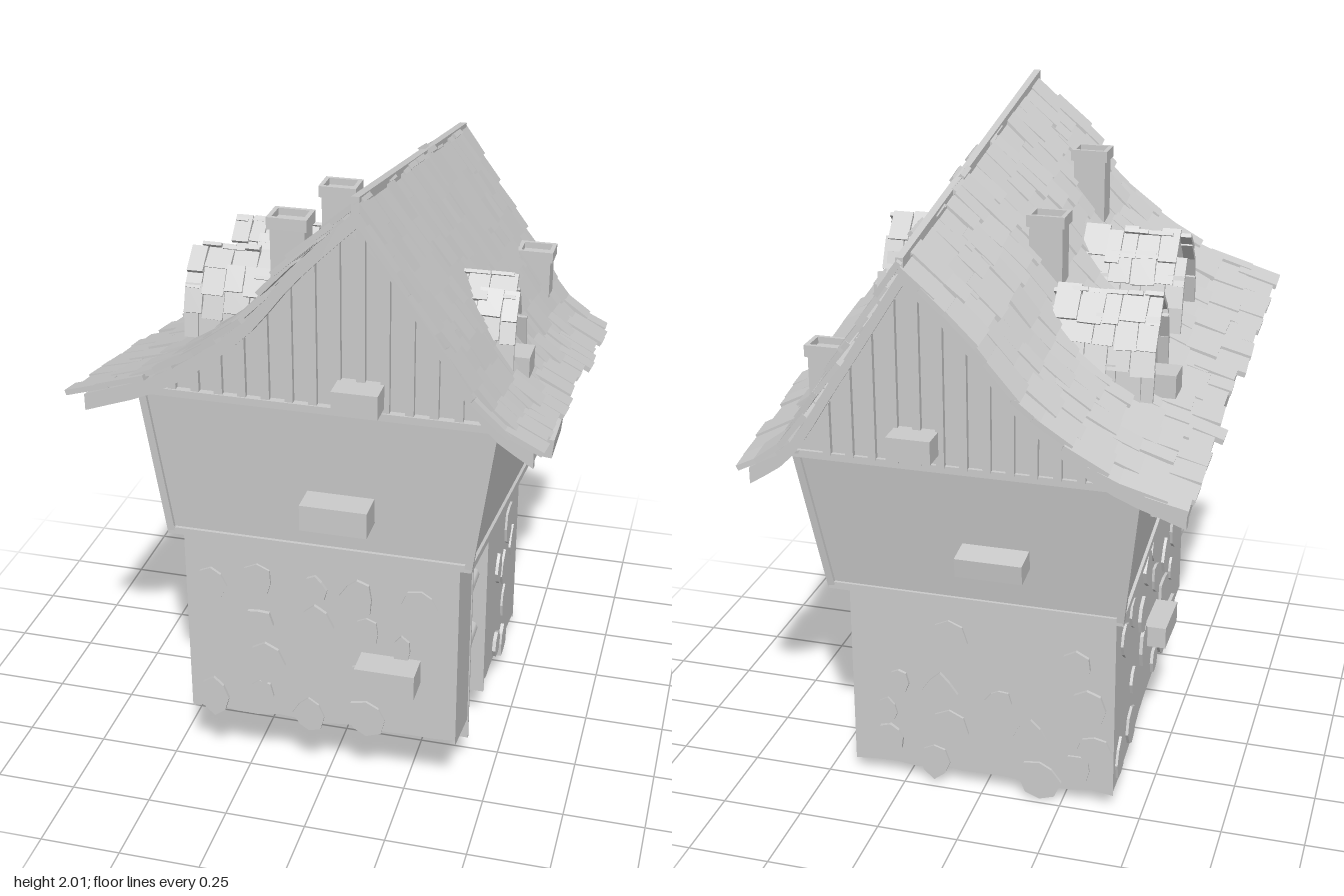
import * as THREE from 'three';
import { mergeGeometries } from 'three/addons/utils/BufferGeometryUtils.js';

const SLOPE = 0.17; // the roof sinks towards the back

let seed = 7;
const rand = (a = 0, b = 1) => {
  seed = (seed * 16807) % 2147483647;
  return a + (b - a) * (seed / 2147483647);
};
const V = (x, y, z = 0) => new THREE.Vector3(x, y, z);
const curve = (pts) => new THREE.CatmullRomCurve3(pts.map(([x, y]) => V(x, y)));
const shape = (pts) => new THREE.Shape(pts.map(([x, y]) => new THREE.Vector2(x, y)));
const merge = (list) => mergeGeometries(list.map((g) => (g.index ? g.toNonIndexed() : g)));
const boxGeo = (w, h, d, x, y, z) => new THREE.BoxGeometry(w, h, d).translate(x, y, z);
const extrude = (s, depth, z = 0) =>
  new THREE.ExtrudeGeometry(s, { depth, bevelEnabled: false }).translate(0, 0, z);
const shear = (g) => {
  g.applyMatrix4(new THREE.Matrix4().set(1, 0, 0, 0, 0, 1, SLOPE, 0, 0, 0, 1, 0, 0, 0, 0, 1));
  g.computeVertexNormals();
  return g;
};

// Square beam between two points
function beam(a, b, r) {
  const d = b.clone().sub(a);
  const g = new THREE.BoxGeometry(r * 2, d.length() + r * 1.6, r * 2);
  g.applyQuaternion(new THREE.Quaternion().setFromUnitVectors(V(0, 1, 0), d.normalize()));
  return g.translate(...a.clone().add(b).multiplyScalar(0.5).toArray());
}

// Overlapping shingles laid in rows down a curve and in columns along z
function shingles(path, z0, z1, rows, width, thick) {
  const list = [], step = path.getLength() / rows;
  for (let i = 0; i < rows; i++) {
    for (let z = z0 + rand(-width * 0.4, 0); z < z1 - width * 0.3;) {
      const w = Math.min(width * rand(0.75, 1.35), z1 + 0.015 - z);
      const u = Math.min(1, (i + 0.5 + rand(-0.2, 0.2)) / rows);
      const p = path.getPointAt(u), t = path.getTangentAt(u), dir = Math.sign(t.x) || 1;
      const n = V(-t.y * dir, t.x * dir).multiplyScalar(thick * rand(0.6, 1.2));
      const g = new THREE.BoxGeometry(step * rand(1.3, 1.6), thick, w - 0.003);
      g.rotateY(rand(-0.04, 0.04));
      g.rotateZ(Math.atan2(t.y, t.x) + dir * rand(0.04, 0.1));
      const zc = Math.max(z0 + w / 2 - 0.015, z + w / 2);
      list.push(g.translate(p.x + n.x, p.y + n.y, zc));
      z += w;
    }
  }
  return list;
}

// Irregular flat stone, showing on both sides of a wall
function stone(x, y, r) {
  const pts = [], n = 8, squash = rand(0.7, 1);
  for (let i = 0; i < n; i++) {
    const a = (i / n) * Math.PI * 2, q = r * rand(0.75, 1.1);
    pts.push([x + Math.cos(a) * q * squash, y + Math.sin(a) * q]);
  }
  const t = rand(0.007, 0.012);
  return extrude(shape(pts), t * 2, -t);
}

export function createModel() {
  const model = new THREE.Group();
  const grey = new THREE.MeshStandardMaterial({ color: 0xcccccc, side: THREE.DoubleSide });
  grey.name = 'lightGrey';
  const add = (name, geo) => {
    const m = new THREE.Mesh(geo, grey);
    m.name = name;
    model.add(m);
    return m;
  };

  // Lower stone walls with ragged bottoms; the base is open
  const ragged = (a, b, ya, yb, n) => Array.from({ length: n + 1 }, (_, i) => {
    const t = i / n;
    return [a + (b - a) * t, ya + (yb - ya) * t + rand(-0.012, 0.012)];
  });
  const wall = (name, outline, stones, place) => {
    add(name, place(new THREE.ShapeGeometry(shape(outline))));
    add(name + 'Stones', place(merge(stones)));
  };
  const scatter = (a, b, bottom, top, skip = () => false) => {
    const list = [];
    for (let u = a + 0.09; u < b - 0.06; u += 0.15) {
      for (let v = bottom(u) + 0.06; v < top(u) - 0.07; v += 0.14) {
        const x = u + rand(-0.03, 0.03), y = v + rand(-0.03, 0.03);
        if (!skip(x) && rand() < 0.75) list.push(stone(x, y, rand(0.045, 0.075)));
      }
    }
    return list;
  };
  wall('frontWall', [[0.42, 0.92], [-0.41, 0.92], ...ragged(-0.41, 0.42, 0.26, 0.26, 12)],
    scatter(-0.41, 0.42, () => 0.25, () => 0.9), (g) => g.translate(0, 0, 0.56));
  const low = [[-0.18, 0.075, 0.075], [0.16, 0.085, 0.07], [-0.3, 0.13, 0.06], [0.3, 0.15, 0.05]];
  wall('backWall', [[0.42, 0.72], [-0.41, 0.72], ...ragged(-0.41, 0.42, 0.06, 0.06, 12)],
    [...scatter(-0.41, 0.42, () => 0.15, () => 0.7), ...low.map((s) => stone(...s))],
    (g) => g.translate(0, 0, -0.47));
  const sideLow = (z) => 0.145 + 0.19 * z, sideTop = (z) => 0.8 + 0.19 * z;
  wall('rightWall', [[0.56, 0.92], [-0.47, 0.72], ...ragged(-0.47, 0.56, 0.06, 0.25, 14)],
    scatter(-0.47, 0.56, sideLow, sideTop), (g) => g.rotateY(-Math.PI / 2).translate(-0.41, 0, 0));
  wall('leftWall', [[0.56, 0.92], [-0.47, 0.72], ...ragged(-0.47, 0.115, 0.06, 0.175, 9),
    [0.115, 0.77], [0.365, 0.77], [0.365, 0.21], [0.56, 0.25]],
  scatter(-0.47, 0.56, sideLow, sideTop, (z) => z > 0.03 && z < 0.45),
  (g) => g.rotateY(-Math.PI / 2).translate(0.42, 0, 0));

  // Recessed plank door
  add('doorFrame', merge([
    boxGeo(0.075, 0.63, 0.01, 0.386, 0.455, 0.115), boxGeo(0.075, 0.63, 0.01, 0.386, 0.455, 0.365),
    boxGeo(0.075, 0.01, 0.25, 0.386, 0.77, 0.24)]));
  add('doorPlanks', merge([0, 1, 2, 3].map((i) =>
    boxGeo(0.02, 0.63 - (i % 2) * 0.012, 0.058, 0.36, 0.455, 0.147 + i * 0.062))));
  add('doorBars', merge([0.385, 0.585].map((y) =>
    new THREE.CylinderGeometry(0.024, 0.024, 0.24, 8).rotateX(Math.PI / 2).translate(0.375, y, 0.24))));

  // Overhanging upper floor with edge beams
  const corner = (sx, sy, sz) => {
    const z = sz > 0 ? (sy < 0 ? 0.585 : 0.615) : (sy < 0 ? -0.53 : -0.595);
    const x = sx < 0 ? (sy < 0 ? -0.435 : -0.49) : (sy < 0 ? 0.45 : 0.515);
    return V(x, (sy < 0 ? 0.79 : 1.25) + 0.185 * z, z);
  };
  const upper = new THREE.BoxGeometry(2, 2, 2), pos = upper.attributes.position;
  for (let i = 0; i < pos.count; i++) {
    pos.setXYZ(i, ...corner(pos.getX(i), pos.getY(i), pos.getZ(i)).toArray());
  }
  upper.computeVertexNormals();
  add('upperFloor', upper);
  const edges = [];
  for (const a of [-1, 1]) for (const b of [-1, 1]) {
    edges.push(beam(corner(-1, a, b), corner(1, a, b), 0.011));
    edges.push(beam(corner(a, -1, b), corner(a, 1, b), 0.011));
    edges.push(beam(corner(a, b, -1), corner(a, b, 1), 0.011));
  }
  add('edgeBeams', merge(edges));

  // Curved roof deck, rake boards and shingles
  const left = curve([[0.15, 1.86], [-0.02, 1.69], [-0.17, 1.51], [-0.41, 1.33], [-0.64, 1.24]]);
  const right = curve([[0.15, 1.86], [0.355, 1.54], [0.51, 1.31], [0.63, 1.225]]);
  const line = [...left.getSpacedPoints(14).reverse(), ...right.getSpacedPoints(14).slice(1)];
  const band = (t) => shape([...line.map((p) => [p.x, p.y]),
    ...line.slice().reverse().map((p) => [p.x, p.y - t])]);
  add('roofDeck', shear(extrude(band(0.03), 1.34, -0.67)));
  add('rakeBoards', shear(merge([-0.675, 0.65].map((z) => extrude(band(0.05), 0.025, z)))));
  add('rightShingles', shear(merge(shingles(left, -0.695, 0.695, 11, 0.075, 0.016))));
  add('leftShingles', shear(merge(shingles(right, -0.695, 0.695, 9, 0.075, 0.016))));
  add('ridgeCap', shear(boxGeo(0.022, 0.045, 1.39, 0.15, 1.875, 0)));

  // Plank gables at both ends
  const under = line.filter((p) => p.y > 1.285).map((p) => [p.x, p.y - 0.02]);
  const roofY = (x) => {
    const i = Math.max(1, line.findIndex((p) => p.x >= x)), a = line[i - 1], b = line[i];
    return a.y + ((b.y - a.y) * (x - a.x)) / (b.x - a.x);
  };
  for (const [name, z] of [['frontGable', 0.6], ['backGable', -0.59]]) {
    const s = Math.sign(z);
    const panel = shape([[-0.49, 1.24], ...under, [0.515, 1.24]]);
    add(name, shear(extrude(panel, 0.01, z - 0.005)));
    const strips = [];
    for (let x = -0.4; x < 0.48; x += 0.068) {
      const top = roofY(x) - 0.03;
      strips.push(boxGeo(0.024, top - 1.25, 0.018, x, (top + 1.25) / 2, z + s * 0.012));
    }
    add(name + 'Battens', shear(merge(strips)));
  }

  // Arched dormers with their own shingles
  const arch = [[0.1, 1.36], [0.09, 1.43], [0.055, 1.52], [0, 1.59]];
  const flip = arch.map(([x, y]) => [-x, y]);
  const dormer = (name, side, faceX, z, length) => {
    const place = (g) => shear(g.rotateY((side * Math.PI) / 2).translate(faceX, 0, z));
    const face = shape([[-0.085, 1.24], ...flip, ...arch.slice(0, 3).reverse(), [0.085, 1.24]]);
    add(name, place(extrude(face, length - 0.02, -length)));
    const roofs = [arch, flip].flatMap((a) =>
      shingles(curve(a.slice().reverse()), -length, 0, 4, 0.06, 0.012));
    add(name + 'Shingles', place(merge(roofs)));
  };
  dormer('leftDormer', 1, 0.495, 0.2, 0.2);
  dormer('rightFrontDormer', -1, -0.455, 0.2, 0.3);
  dormer('rightBackDormer', -1, -0.455, -0.2, 0.3);

  // Hollow-topped chimneys
  const chimney = (name, x, z, y0, y1, lean) => {
    const rect = (w, d) => [[-w, -d], [w, -d], [w, d], [-w, d]];
    const rim = shape(rect(0.058, 0.045));
    rim.holes.push(new THREE.Path(rect(0.045, 0.033).map(([a, b]) => new THREE.Vector2(a, b))));
    const h = y1 - y0;
    const m = add(name, merge([
      boxGeo(0.1, h - 0.02, 0.076, 0, h / 2 - 0.01, 0),
      extrude(rim, 0.035).rotateX(-Math.PI / 2).translate(0, h - 0.035, 0)]));
    m.position.set(x, y0, z);
    m.rotation.z = lean;
  };
  chimney('rightFrontChimney', -0.11, 0.4, 1.5, 1.84, 0);
  chimney('rightMiddleChimney', -0.1, -0.09, 1.45, 1.76, 0);
  chimney('leftChimney', 0.44, -0.5, 1.18, 1.45, 0);

  // Window boxes: size, position, tilt about z, tilt about x
  const boxes = [
    ['frontLowerBox', 0.18, 0.08, 0.1, 0.22, 0.5, 0.6, 0, 0],
    ['frontUpperBox', 0.195, 0.08, 0.1, 0.08, 1.05, 0.635, 0, 0],
    ['frontGableBox', 0.13, 0.07, 0.1, 0.145, 1.425, 0.645, 0, 0],
    ['backUpperBox', 0.2, 0.06, 0.1, -0.07, 0.86, -0.59, 0, -0.12],
    ['backGableBox', 0.13, 0.07, 0.1, 0.145, 1.22, -0.635, 0, 0],
    ['leftUpperBox', 0.1, 0.065, 0.195, 0.52, 0.905, -0.268, -0.1, 0],
    ['rightUpperBox', 0.1, 0.065, 0.195, -0.49, 0.915, -0.12, 0.06, 0],
    ['rightLowerBox', 0.1, 0.07, 0.19, -0.43, 0.385, 0.04, 0, 0],
    ['leftDormerBox', 0.07, 0.07, 0.095, 0.51, 1.375, 0.205, 0, 0],
    ['rightDormerBox', 0.08, 0.07, 0.095, -0.48, 1.315, -0.2, 0, 0],
  ];
  for (const [name, w, h, d, x, y, z, tiltZ, tiltX] of boxes) {
    const m = add(name, new THREE.BoxGeometry(w, h, d));
    m.position.set(x, y, z);
    m.rotation.set(tiltX, 0, tiltZ);
  }
  return model;
}
